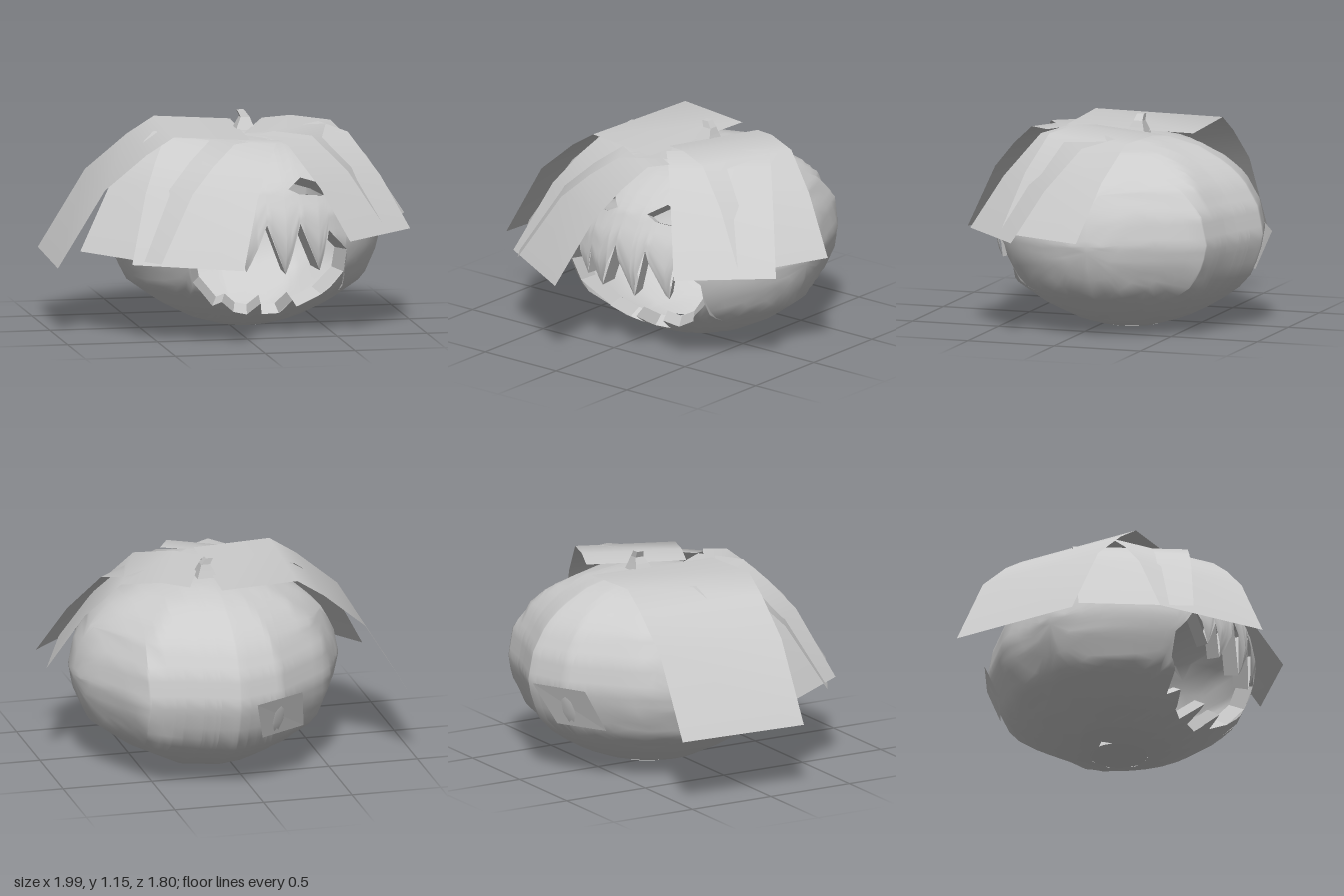
import * as THREE from 'three';
import { mergeVertices } from 'three/addons/utils/BufferGeometryUtils.js';

const CX = 0.1, CZ = -0.13; // pumpkin axis
// pumpkin profile: [radius, height]
const LOW = [[0.16, 0], [0.3, 0.04], [0.48, 0.13], [0.66, 0.26], [0.73, 0.42], [0.75, 0.53]];
const HIGH = [[0, 1.055], [0.2, 1.04], [0.38, 0.995], [0.54, 0.91], [0.64, 0.82], [0.72, 0.68], [0.75, 0.53]];
// uneven outline of the back half, as offsets [x, -z] from the axis
const BACK = [[0.75, 0], [0.72, 0.14], [0.5, 0.59], [0.25, 0.66], [-0.01, 0.76], [-0.26, 0.68], [-0.6, 0.38], [-0.75, 0]];

// carved outlines, as height along x
const MOUTH_TOP = [[-0.32, 0.44], [-0.22, 0.6], [-0.13, 0.42], [-0.09, 0.56], [-0.02, 0.38], [0.09, 0.64], [0.2, 0.36],
  [0.28, 0.64], [0.4, 0.37], [0.45, 0.59], [0.565, 0.47]];
const MOUTH_LOW = [[-0.32, 0.44], [-0.29, 0.31], [-0.16, 0.16], [-0.12, 0.19], [-0.04, 0.12], [0.04, 0.1], [0.09, 0.18],
  [0.12, 0.1], [0.22, 0.1], [0.27, 0.19], [0.31, 0.14], [0.44, 0.21], [0.555, 0.34], [0.565, 0.47]];
const mirrorEye = (pts) => [...pts.map(([x, y]) => [0.26 - x, y]).reverse(), ...pts];
const EYE_LOW = mirrorEye([[0.23, 0.82], [0.29, 0.79], [0.45, 0.77], [0.5, 0.79]]);
const EYE_TOP = mirrorEye([[0.23, 0.82], [0.31, 0.87], [0.42, 0.835], [0.5, 0.79]]);

// piecewise linear lookup, clamped at both ends
function lerpTable(pts, v) {
  if (v <= pts[0][0]) return pts[0][1];
  for (let i = 1; i < pts.length; i++) {
    const [a, ya] = pts[i - 1], [b, yb] = pts[i];
    if (v <= b) return ya + (yb - ya) * (v - a) / (b - a);
  }
  return pts[pts.length - 1][1];
}

const BY_HEIGHT = [...LOW, ...HIGH.slice(0, -1).reverse()].map(([r, y]) => [y, r]);

// how far the faceted back outline lies from the axis, relative to a circle
function backScale(dx, dz) {
  const n = Math.hypot(dx, dz);
  if (n < 1e-6) return 1;
  const ux = dx / n, uz = dz / n;
  for (let i = 1; i < BACK.length; i++) {
    const [px, pz] = BACK[i - 1], [qx, qz] = BACK[i];
    if (ux * qz - uz * qx >= -1e-9) return (px * qz - pz * qx) / (ux * (qz - pz) - uz * (qx - px)) / 0.75;
  }
  return 1;
}

function surfacePoint(x, y, side) {
  const r = lerpTable(BY_HEIGHT, y), d = x - CX;
  const z = Math.sqrt(Math.max(0, r * r - d * d));
  const s = side < 0 ? backScale(d, z) : 1;
  return [CX + d * s, y, CZ + side * z * s];
}

function toGeometry(positions, index) {
  const g = new THREE.BufferGeometry();
  g.setAttribute('position', new THREE.Float32BufferAttribute(positions, 3));
  g.setIndex(index);
  const merged = mergeVertices(g, 1e-4);
  merged.computeVertexNormals();
  return merged;
}

// columns: evenly turned round the body, plus every carved corner
function columns() {
  const xs = [...MOUTH_TOP, ...MOUTH_LOW, ...EYE_LOW, ...EYE_TOP].map((p) => p[0]);
  for (let i = 0; i <= 24; i++) xs.push(CX - 0.75 * Math.cos(Math.PI * i / 24));
  xs.sort((a, b) => a - b);
  return xs.filter((x, i) => i === 0 || x - xs[i - 1] > 1e-4);
}

// skin in three bands per half: below mouth, mouth to eyes, eyes to crown
function bodyGeometry() {
  const pos = [], idx = [], xs = columns(), rows = 9;
  const ease = [(t) => 1 - Math.cos(t * Math.PI / 2), (t) => t, (t) => Math.sin(t * Math.PI / 2)];
  for (const side of [1, -1]) {
    for (let band = 0; band < 3; band++) {
      const base = pos.length / 3;
      xs.forEach((x, c) => {
        const d = Math.abs(x - CX), bottom = lerpTable(LOW, d), top = lerpTable(HIGH, d);
        const fit = (y) => Math.min(top, Math.max(bottom, y));
        const cuts = side > 0
          ? [bottom, fit(lerpTable(MOUTH_LOW, x)), fit(lerpTable(MOUTH_TOP, x)), fit(lerpTable(EYE_LOW, x)), fit(lerpTable(EYE_TOP, x)), top]
          : [bottom, fit(0.45), fit(0.45), fit(0.8), fit(0.8), top];
        const y0 = cuts[band * 2], y1 = cuts[band * 2 + 1];
        for (let r = 0; r <= rows; r++) {
          pos.push(...surfacePoint(x, y0 + (y1 - y0) * ease[band](r / rows), side));
          if (c === 0 || r === 0) continue;
          const b = base + c * (rows + 1) + r, a = b - rows - 1;
          if (side > 0) idx.push(a - 1, b - 1, b, a - 1, b, a);
          else idx.push(a - 1, b, b - 1, a - 1, a, b);
        }
      });
    }
  }
  return toGeometry(pos, idx);
}

// cut wall running from a carved outline towards the middle of the body
function rimGeometry(outline) {
  const pos = [], idx = [], keep = 0.88;
  outline.forEach(([x, y], i) => {
    const [px, py, pz] = surfacePoint(x, y, 1);
    pos.push(px, py, pz, CX + (px - CX) * keep, 0.5 + (py - 0.5) * keep, CZ + (pz - CZ) * keep);
    if (i) idx.push(2 * i - 2, 2 * i, 2 * i + 1, 2 * i - 2, 2 * i + 1, 2 * i - 1);
  });
  return toGeometry(pos, idx);
}

// bent sheet: starts at [x, z], runs along dir, profile is [distance, height]
function sheetGeometry([sx, sz], [dx, dz], width, profile) {
  const n = Math.hypot(dx, dz), ux = dx / n, uz = dz / n;
  const g = new THREE.PlaneGeometry(1, 1, 1, profile.length - 1), p = g.attributes.position;
  for (let i = 0; i < p.count; i++) {
    const [dist, y] = profile[Math.floor(i / 2)], w = (i % 2 ? -0.5 : 0.5) * width;
    p.setXYZ(i, sx + ux * dist + uz * w, y, sz + uz * dist - ux * w);
  }
  g.computeVertexNormals();
  return g;
}

export function createModel() {
  const group = new THREE.Group();
  const skin = new THREE.MeshStandardMaterial({ color: 0xcccccc, side: THREE.DoubleSide });
  const flat = new THREE.MeshStandardMaterial({ color: 0xcccccc, side: THREE.DoubleSide, flatShading: true });
  const add = (name, geometry, material = skin) => {
    const m = new THREE.Mesh(geometry, material);
    m.name = name;
    group.add(m);
    return m;
  };

  // hollow body and its underside
  add('pumpkinBody', bodyGeometry());
  const base = add('pumpkinBase', new THREE.CircleGeometry(0.16, 24));
  base.rotation.x = Math.PI / 2;
  base.position.set(CX, 0.001, CZ);

  // thickness of the carved openings
  add('upperTeeth', rimGeometry(MOUTH_TOP), flat);
  add('lowerTeeth', rimGeometry(MOUTH_LOW), flat);
  const half = EYE_LOW.length / 2;
  [['rightEye', 0], ['leftEye', half]].forEach(([name, s]) => {
    add(name + 'LowerRim', rimGeometry(EYE_LOW.slice(s, s + half)), flat);
    add(name + 'UpperRim', rimGeometry(EYE_TOP.slice(s, s + half)), flat);
  });

  // square stem, leaning at the tip: [height, x, z, half width]
  const rings = [[1.155, 0.097, -0.185, 0.02], [1.12, 0.118, -0.18, 0.025], [1.085, 0.115, -0.175, 0.04], [1.045, 0.113, -0.17, 0.057]];
  const stem = new THREE.CylinderGeometry(Math.SQRT2, Math.SQRT2, 3, 4, 3);
  stem.rotateY(Math.PI / 4);
  const sp = stem.attributes.position;
  for (let i = 0; i < sp.count; i++) {
    const [y, x, z, h] = rings[Math.round(1.5 - sp.getY(i))];
    sp.setXYZ(i, x + sp.getX(i) * h, y, z + sp.getZ(i) * h);
  }
  add('stem', stem, flat);

  // hair: overlapping bent sheets draped from the crown
  const hair = [
    ['hairRight', [0.08, -0.11], [-1, -0.05], 0.75, [[0, 1.06], [0.42, 1.085], [0.57, 0.99], [0.8, 0.8], [1.06, 0.375]]],
    ['hairFrontRight', [-0.04, 0.15], [-0.5, 0.865], 0.645, [[0, 1.06], [0.13, 1.06], [0.28, 0.95], [0.44, 0.8], [0.67, 0.44]]],
    ['hairRightMiddle', [0, -0.02], [-0.83, 0.55], 0.63, [[0, 1.06], [0.27, 1.06], [0.43, 0.955], [0.59, 0.82], [0.83, 0.46]]],
    ['hairLeft', [0.16, -0.16], [0.93, 0.37], 0.553, [[0, 1.07], [0.16, 1.09], [0.38, 1.07], [0.58, 0.88], [0.79, 0.57]]],
    ['hairFrontLeft', [0.325, 0.005], [0.68, 0.73], 0.56, [[0, 1.08], [0.2, 1.04], [0.42, 0.82], [0.62, 0.545]]],
  ];
  hair.forEach(([name, ...sheet]) => add(name, sheetGeometry(...sheet)));

  // small flat patch low on the back, offsets from the axis
  const corners = [[-0.09, 0.53, -0.78], [-0.385, 0.53, -0.625], [-0.42, 0.3, -0.51], [-0.15, 0.3, -0.66]];
  add('backPatch', toGeometry(corners.flatMap(([x, y, z]) => [CX + x, y, CZ + z]), [0, 2, 1, 0, 3, 2]), flat);

  return group;
}
